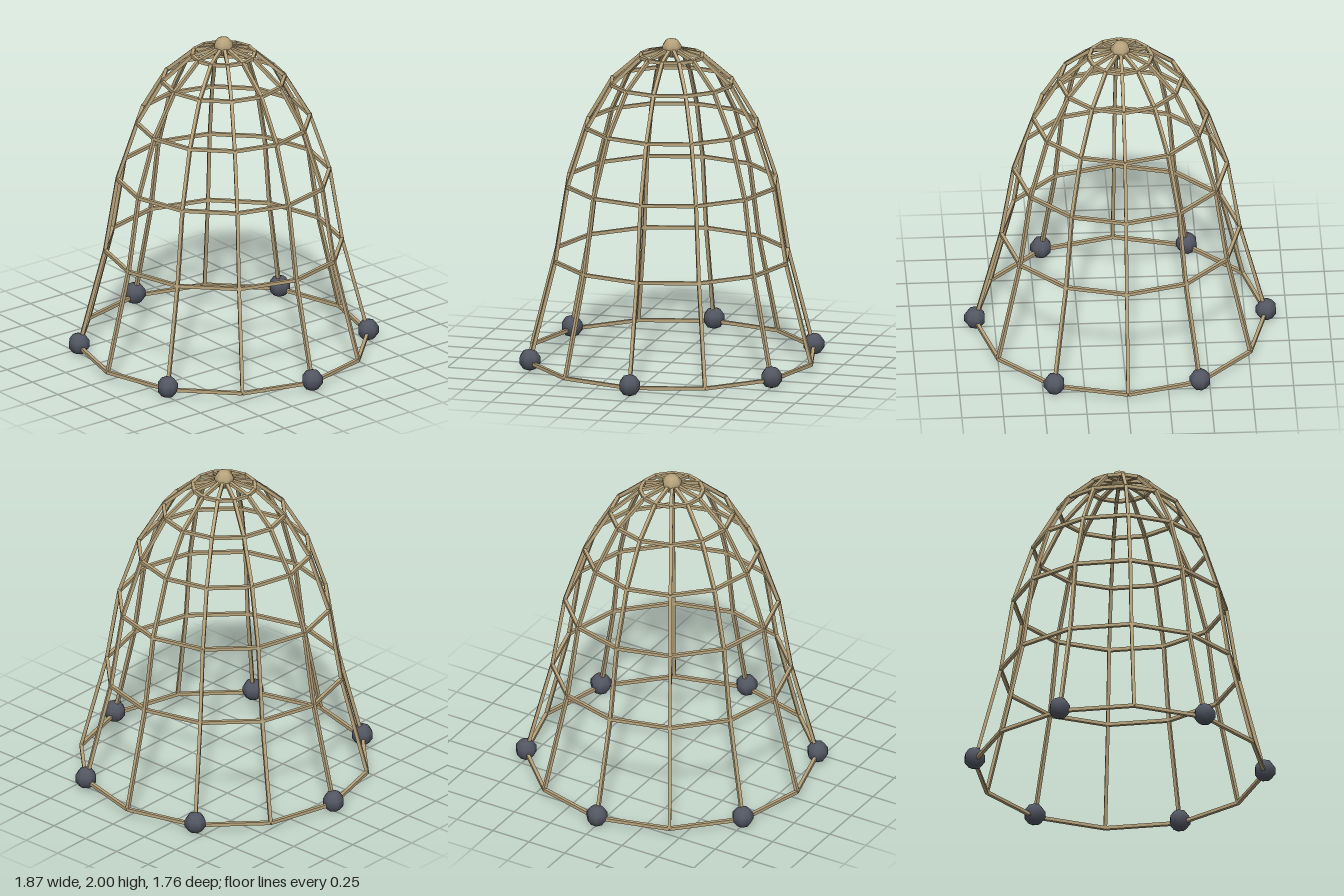
import * as THREE from 'three';

const RIBS = 12;
const WIRE = 0.0205;
// Small offset that balances the odd-sided weights about x = 0
const AXIS_X = -0.003;
// [radius, height] of each hoop, from the base up
const HOOPS = [[0.872, 0.05], [0.715, 0.66], [0.64, 1.117], [0.522, 1.47], [0.37, 1.73], [0.19, 1.89]];
const APEX = [0, 1.94];

const tan = new THREE.MeshStandardMaterial({ color: 0xb8a47c });
tan.name = 'tan wire';
const slate = new THREE.MeshStandardMaterial({ color: 0x535763 });
slate.name = 'slate weight';

// Point on rib i at a given radius and height
function ribPoint(i, [r, y]) {
  const a = (i / RIBS) * Math.PI * 2;
  return new THREE.Vector3(AXIS_X + Math.cos(a) * r, y, Math.sin(a) * r);
}

// Square rod between two points, with one pair of faces turned towards "side"
function rod(a, b, side, name) {
  const along = b.clone().sub(a);
  const mesh = new THREE.Mesh(new THREE.BoxGeometry(WIRE, along.length(), WIRE), tan);
  along.normalize();
  const across = new THREE.Vector3().crossVectors(along, side).normalize();
  const out = new THREE.Vector3().crossVectors(across, along);
  mesh.quaternion.setFromRotationMatrix(new THREE.Matrix4().makeBasis(across, along, out));
  mesh.position.copy(a).add(b).multiplyScalar(0.5);
  mesh.name = name;
  return mesh;
}

// Coarse smooth ball with seven sides, one corner towards +x
function ball(radius, material, name) {
  const geo = new THREE.SphereGeometry(radius, 7, 5);
  geo.rotateY(Math.PI);
  const mesh = new THREE.Mesh(geo, material);
  mesh.name = name;
  return mesh;
}

export function createModel() {
  const model = new THREE.Group();
  model.name = 'wireDome';

  // Ribs running from the base hoop to the apex
  const profile = [...HOOPS, APEX];
  for (let i = 0; i < RIBS; i++) {
    const rib = new THREE.Group();
    rib.name = 'rib';
    const a = (i / RIBS) * Math.PI * 2;
    const outward = new THREE.Vector3(Math.cos(a), 0, Math.sin(a));
    for (let k = 0; k < profile.length - 1; k++) {
      rib.add(rod(ribPoint(i, profile[k]), ribPoint(i, profile[k + 1]), outward, 'ribSegment'));
    }
    model.add(rib);
  }

  // Twelve-sided hoops
  const up = new THREE.Vector3(0, 1, 0);
  for (const level of HOOPS) {
    const hoop = new THREE.Group();
    hoop.name = 'hoop';
    for (let i = 0; i < RIBS; i++) {
      hoop.add(rod(ribPoint(i, level), ribPoint(i + 1, level), up, 'hoopSegment'));
    }
    model.add(hoop);
  }

  // Weights at the foot of every second rib
  for (let i = 0; i < RIBS; i += 2) {
    const weight = ball(0.067, slate, 'weight');
    weight.position.copy(ribPoint(i, [0.872, 0.067]));
    model.add(weight);
  }

  // Knob on the apex
  const knob = ball(0.061, tan, 'topKnob');
  knob.position.set(AXIS_X, 1.939, 0);
  model.add(knob);

  return model;
}
